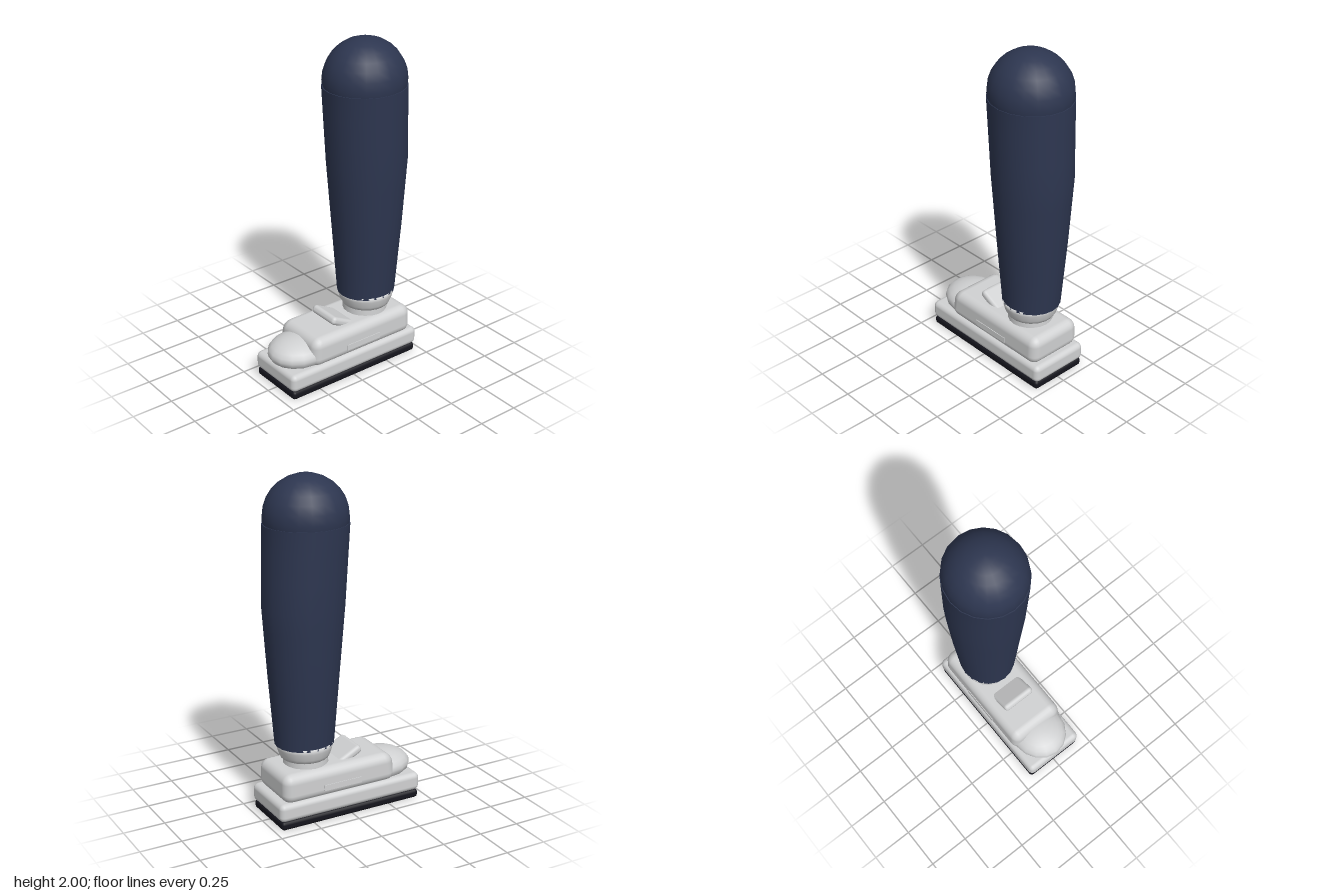
import * as THREE from 'three';
import { mergeVertices } from 'three/addons/utils/BufferGeometryUtils.js';
import { RoundedBoxGeometry } from 'three/addons/geometries/RoundedBoxGeometry.js';

const material = (name, color) => {
  const m = new THREE.MeshStandardMaterial({ color });
  m.name = name;
  return m;
};

export function createModel() {
  const group = new THREE.Group();
  const navy = material('navy fabric', 0x2d3650);
  const grey = material('light grey', 0xd0d1d2);
  const dark = material('dark rubber', 0x15151d);

  const add = (name, geometry, mat, x, y, z) => {
    const mesh = new THREE.Mesh(geometry, mat);
    mesh.name = name;
    mesh.position.set(x, y, z);
    group.add(mesh);
    return mesh;
  };

  // Sole: thin dark tread under a thicker rounded midsole
  add('outsole', new RoundedBoxGeometry(0.366, 0.054, 0.908, 2, 0.02), dark, 0, 0.027, -0.007);
  add('midsole', new RoundedBoxGeometry(0.378, 0.11, 0.925, 3, 0.032), grey, 0, 0.105, -0.008);

  // Shoe body, narrowing slightly towards its top
  const body = new RoundedBoxGeometry(0.36, 0.175, 0.73, 3, 0.055);
  const p = body.attributes.position;
  for (let i = 0; i < p.count; i++) {
    const t = Math.max(0, p.getY(i) / 0.0875);
    p.setX(i, p.getX(i) * (1 - 0.04 * t));
    if (p.getZ(i) > 0) p.setZ(i, p.getZ(i) - 0.02 * t);
  }
  add('upper', body, grey, 0, 0.2325, -0.07);

  // Rounded toe cap
  const toe = add('toeCap', new THREE.SphereGeometry(1, 16, 12), grey, 0, 0.2, 0.277);
  toe.scale.set(0.168, 0.09, 0.19);

  // Tongue, raised at the front
  const tongue = add('tongue', new RoundedBoxGeometry(0.212, 0.05, 0.17, 2, 0.022), grey, 0, 0.327, 0.025);
  tongue.rotation.x = -0.48;

  // Raised strip on each side
  for (const side of [1, -1]) {
    add(side > 0 ? 'leftStrip' : 'rightStrip',
      new THREE.BoxGeometry(0.012, 0.035, 0.244), grey, side * 0.177, 0.208, -0.066);
  }

  // Ankle joint and flared cuff
  add('ankle', new THREE.CylinderGeometry(0.13, 0.134, 0.09, 20), grey, 0, 0.335, -0.215);
  const cuffProfile = [[0.1, 0.358], [0.14, 0.358], [0.152, 0.38], [0.164, 0.42], [0.169, 0.452], [0.12, 0.452]]
    .map(([r, y]) => new THREE.Vector2(r, y));
  const cuff = add('cuff', new THREE.LatheGeometry(cuffProfile, 20), grey, 0, 0, -0.221);
  cuff.rotation.y = Math.PI / 20;

  // Trouser leg: elliptical sections given as y, centre z, half width, half depth
  const sections = [
    [0.44, -0.222, 0.166, 0.174], [0.865, -0.223, 0.2, 0.207],
    [1.27, -0.22, 0.225, 0.238], [1.73, -0.2, 0.235, 0.246],
  ];
  const leg = new THREE.CylinderGeometry(1, 1, 1, 20, 9);
  leg.deleteAttribute('uv');
  const legGeometry = mergeVertices(leg);
  const q = legGeometry.attributes.position;
  for (let i = 0; i < q.count; i++) {
    const t = (q.getY(i) + 0.5) * 3;
    const k = Math.min(2, Math.floor(t + 1e-6));
    const s = sections[k].map((v, j) => THREE.MathUtils.lerp(v, sections[k + 1][j], t - k));
    q.setXYZ(i, q.getX(i) * s[2], s[0], q.getZ(i) * s[3] + s[1]);
  }
  legGeometry.computeVertexNormals();
  add('trouserLeg', legGeometry, navy, 0, 0, 0);

  // Domed knee
  const knee = add('knee', new THREE.SphereGeometry(1, 20, 14), navy, 0, 1.76, -0.2);
  knee.scale.set(0.234, 0.24, 0.244);

  return group;
}
